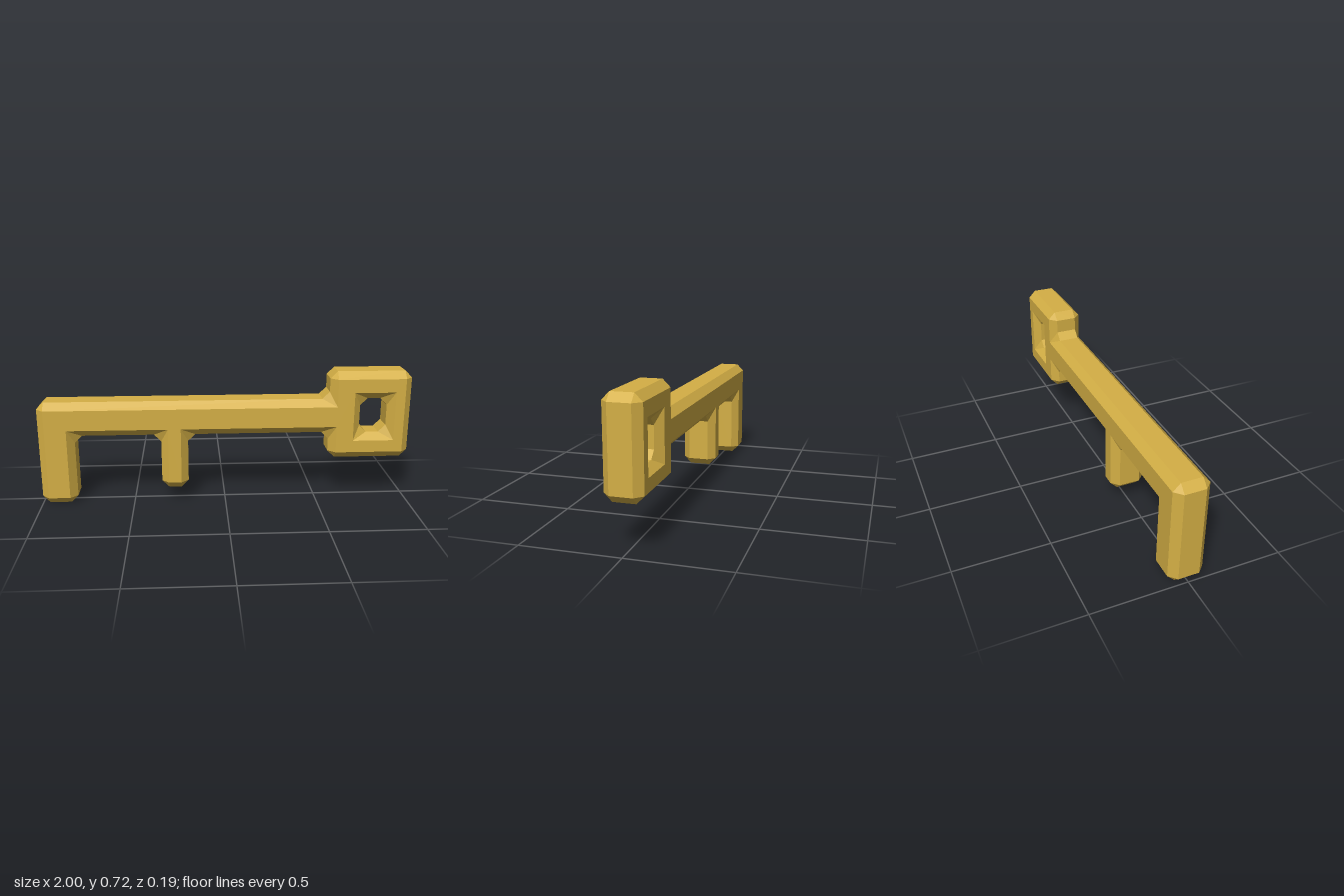
import * as THREE from 'three';

const BEVEL = 0.0385;   // bevel width and depth
const HALF = 0.093;     // half thickness at the flat faces
const RIM = 0.055;      // half thickness of the straight side walls

// Flat face outline, anticlockwise: long tooth, short tooth, shaft, square bow
const outline = [
  [-0.962, 0.0385], [-0.847, 0.0385], [-0.847, 0.42],
  [-0.308, 0.42], [-0.308, 0.117], [-0.24, 0.117], [-0.24, 0.42],
  [0.599, 0.42], [0.599, 0.275], [0.962, 0.275], [0.962, 0.68], [0.599, 0.68],
  [0.599, 0.53], [-0.962, 0.53],
].map(([x, y]) => new THREE.Vector2(x, y));

// Window in the bow, clockwise
const windowHole = [[0.69, 0.34], [0.69, 0.607], [0.912, 0.607], [0.912, 0.34]]
  .map(([x, y]) => new THREE.Vector2(x, y));

// Each face corner splits into two rim points, giving a clipped corner
function rimPoints(loop) {
  const n = loop.length;
  return loop.map((p, i) => {
    const d1 = p.clone().sub(loop[(i + n - 1) % n]).normalize();
    const d2 = loop[(i + 1) % n].clone().sub(p).normalize();
    const n1 = new THREE.Vector2(d1.y, -d1.x);
    const n2 = new THREE.Vector2(d2.y, -d2.x);
    const a = p.clone().addScaledVector(n1, BEVEL);
    const b = p.clone().addScaledVector(n2, BEVEL);
    if (d1.cross(d2) < 0) { // inner corner: pull the points apart along the edges
      a.addScaledVector(n2, BEVEL).addScaledVector(d1, -BEVEL);
      b.addScaledVector(n1, BEVEL).addScaledVector(d2, BEVEL);
    }
    return [a, b];
  });
}

function bevelledPlate(contour, holes) {
  const pos = [];
  const tri = (...v) => v.forEach(([p, z]) => pos.push(p.x, p.y, z));
  const quad = (a, b, c, d) => { tri(a, b, c); tri(a, c, d); };
  // Front triangle together with its mirrored back triangle
  const both = (a, b, c) => {
    tri(a, b, c);
    tri(...[c, b, a].map(([p, z]) => [p, -z]));
  };
  const wall = (p, q) => quad([p, -RIM], [q, -RIM], [q, RIM], [p, RIM]);

  // Flat faces
  const points = [contour, ...holes].flat();
  for (const f of THREE.ShapeUtils.triangulateShape(contour, holes)) {
    both(...f.map((i) => [points[i], HALF]));
  }

  // Bevels, corner triangles and side walls
  for (const loop of [contour, ...holes]) {
    const rim = rimPoints(loop);
    loop.forEach((p, i) => {
      const j = (i + 1) % loop.length;
      const [a, b] = rim[i];
      const next = rim[j][0];
      both([a, RIM], [b, RIM], [p, HALF]);
      both([b, RIM], [next, RIM], [loop[j], HALF]);
      both([b, RIM], [loop[j], HALF], [p, HALF]);
      wall(a, b);
      wall(b, next);
    });
  }

  const geometry = new THREE.BufferGeometry();
  geometry.setAttribute('position', new THREE.Float32BufferAttribute(pos, 3));
  geometry.computeVertexNormals();
  return geometry;
}

export function createModel() {
  const group = new THREE.Group();
  group.name = 'key';
  const material = new THREE.MeshStandardMaterial({ color: 0xd4af45, flatShading: true });
  const body = new THREE.Mesh(bevelledPlate(outline, [windowHole]), material);
  body.name = 'keyBody';
  group.add(body);
  return group;
}
